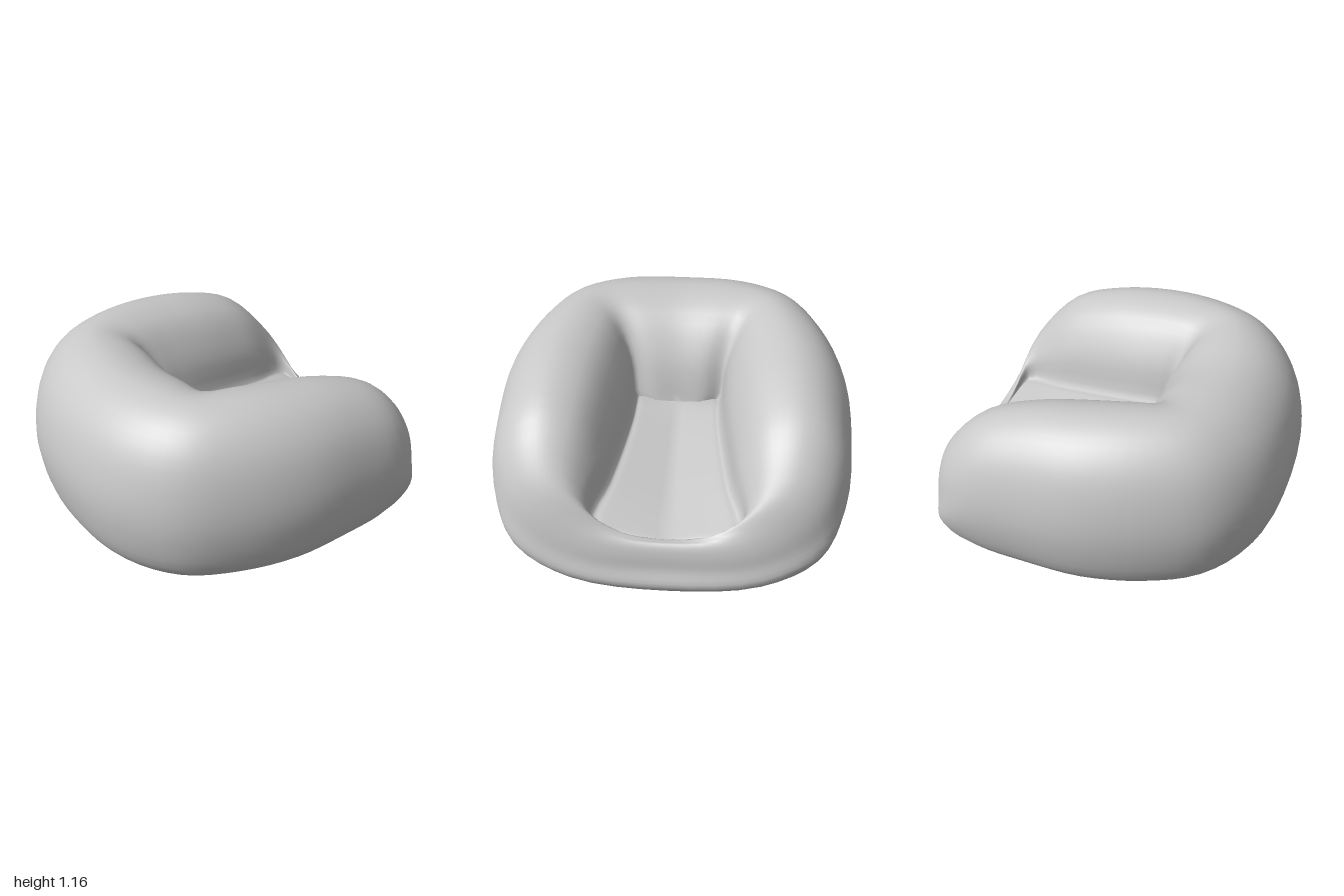
import * as THREE from 'three';
import { mergeVertices } from 'three/addons/utils/BufferGeometryUtils.js';

const fabric = new THREE.MeshStandardMaterial({ color: 0xc8c8c8 });
fabric.name = 'grey fabric';

// Stations from the back round one arm to the front lip:
// outer x, outer z, seat crease x, crease z, crest height, crease height, base height, lean
const STATIONS = [
  [-0.98, 0, -0.13, 0, 1.15, 0.60, 0.13, 1],
  [-0.92, 0.42, -0.13, 0.14, 1.16, 0.61, 0.13, 1],
  [-0.72, 0.73, -0.16, 0.24, 1.16, 0.61, 0.13, 1],
  [-0.41, 0.90, -0.08, 0.245, 1.16, 0.62, 0.13, 1],
  [-0.04, 0.99, 0.06, 0.25, 1.14, 0.61, 0.13, 1],
  [0.33, 0.985, 0.30, 0.28, 1.09, 0.58, 0.13, 1],
  [0.62, 0.95, 0.58, 0.33, 0.98, 0.54, 0.13, 1],
  [0.83, 0.84, 0.83, 0.39, 0.73, 0.49, 0.11, 0.95],
  [0.95, 0.53, 0.87, 0.21, 0.49, 0.45, 0.06, 0.86],
  [0.98, 0, 0.87, 0, 0.435, 0.425, 0.03, 0.75],
];

// Cross-section of the padding: underside, outer bulge, crest, inner wall, seat
function section([ox, oz, ix, iz, crest, crease, base, lean], side) {
  const pts = [new THREE.Vector3(0, 0, 0)];
  const under = (f, y) => pts.push(new THREE.Vector3(ox * f, y, oz * f * side));
  const pad = (u, y) => pts.push(new THREE.Vector3(
    THREE.MathUtils.lerp(ix, ox, u), y, THREE.MathUtils.lerp(iz, oz, u) * side));
  under(0.4, base * 0.5);
  under(0.77, base);
  under(0.92, base + (crest - base) * 0.11);
  pad(1, base + (crest - base) * 0.36);
  for (const [u, v] of [[1, 0.59], [0.91, 0.81], [0.74, 0.95], [0.52, 1]]) {
    pad(u * lean, base + (crest - base) * v);
  }
  for (const [u, w] of [[0.26, 0.87], [0.07, 0.45], [0, 0]]) {
    pad(u, crease + (crest - crease) * w);
  }
  // the seat slopes down to the front along its centre line
  const sx = Math.max(ix, -0.13);
  const seat = new THREE.Vector3(sx, 0.6 - 0.176 * (sx + 0.13), 0);
  const edge = pts[pts.length - 1];
  pts.push(edge.clone().lerp(seat, 0.15), edge.clone().lerp(seat, 0.5), seat);
  return new THREE.CatmullRomCurve3(pts);
}

function cushionGeometry() {
  const mirrored = STATIONS.slice(1, -1).reverse();
  const sections = [
    ...STATIONS.map((s) => section(s, 1)),
    ...mirrored.map((s) => section(s, -1)),
  ];
  const rows = 56, cols = 72;
  const positions = [], index = [];
  for (let j = 0; j <= rows; j++) {
    const ring = new THREE.CatmullRomCurve3(sections.map((c) => c.getPoint(j / rows)), true);
    for (let i = 0; i < cols; i++) {
      // all sections start from one point under the middle
      const p = j === 0 ? new THREE.Vector3() : ring.getPoint(i / cols);
      positions.push(p.x, Math.max(0, p.y), p.z);
    }
  }
  for (let j = 0; j < rows; j++) {
    for (let i = 0; i < cols; i++) {
      const a = j * cols + i, b = j * cols + (i + 1) % cols;
      const c = a + cols, d = b + cols;
      if (j > 0) index.push(a, b, c);
      index.push(b, d, c);
    }
  }
  const geometry = new THREE.BufferGeometry();
  geometry.setAttribute('position', new THREE.Float32BufferAttribute(positions, 3));
  geometry.setIndex(index);
  const merged = mergeVertices(geometry, 1e-4);
  merged.computeVertexNormals();
  return merged;
}

export function createModel() {
  const group = new THREE.Group();
  group.name = 'beanBagChair';
  const cushion = new THREE.Mesh(cushionGeometry(), fabric);
  cushion.name = 'cushion';
  group.add(cushion);
  return group;
}
